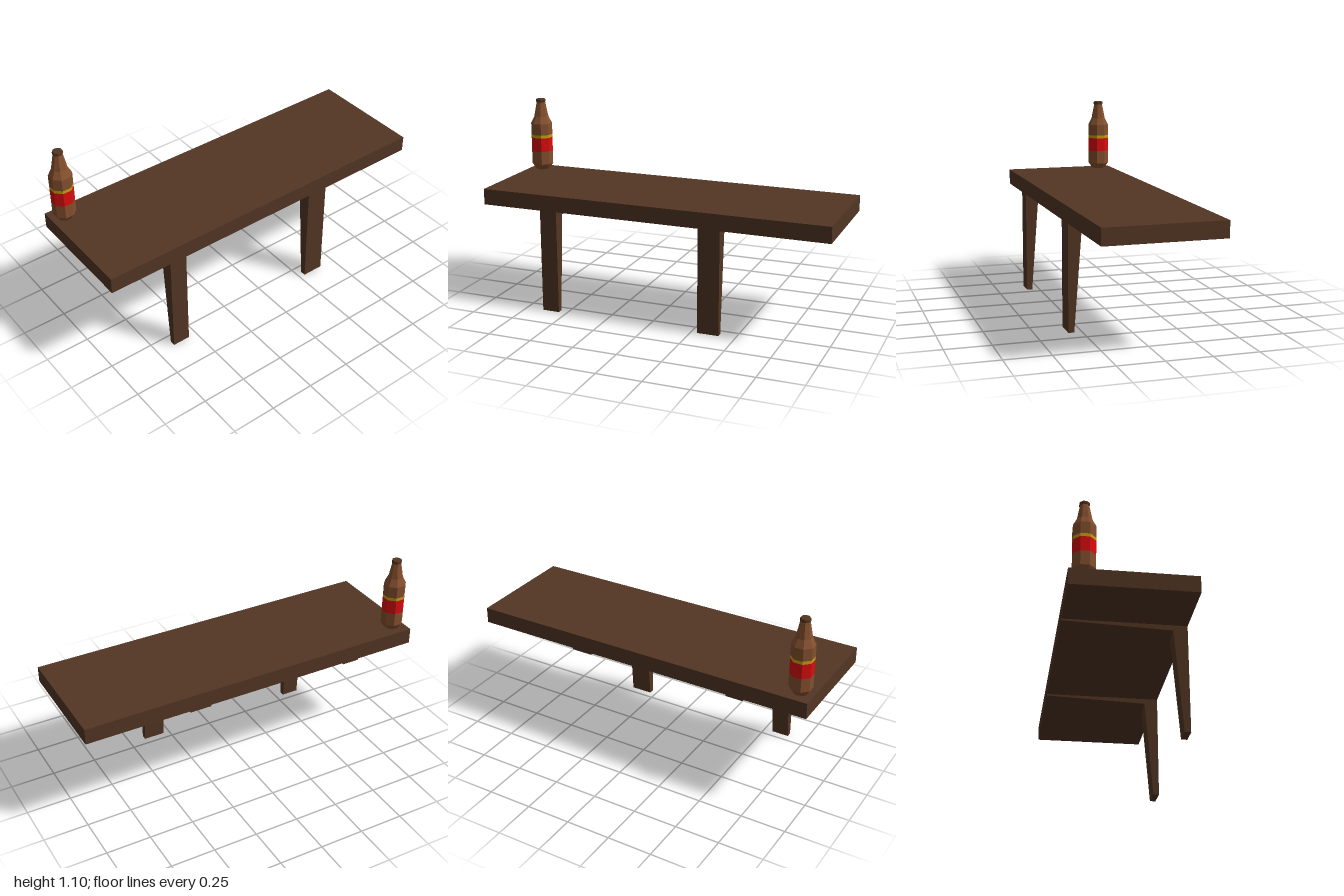
import * as THREE from 'three';

function makeMaterial(name, color) {
  const m = new THREE.MeshStandardMaterial({ color, flatShading: true });
  m.name = name;
  return m;
}

export function createModel() {
  const wood = makeMaterial('darkWood', 0x533624);
  const glass = makeMaterial('brownGlass', 0x85502f);
  const red = makeMaterial('redLabel', 0xdb0d0d);
  const gold = makeMaterial('goldBand', 0xc8a010);
  const capBrown = makeMaterial('capBrown', 0x54351f);

  const model = new THREE.Group();
  model.name = 'shelfWithBottle';
  const add = (parent, name, geometry, material) => {
    const mesh = new THREE.Mesh(geometry, material);
    mesh.name = name;
    parent.add(mesh);
    return mesh;
  };

  // Shelf board
  add(model, 'board', new THREE.BoxGeometry(2, 0.09, 0.65), wood).position.y = 0.632;

  // Tapered brackets: a leg at the front and an arm under the board
  const profile = new THREE.Shape([
    [0.325, 0], [0.325, 0.6], [-0.324, 0.6], [-0.324, 0.578], [0.25, 0.557], [0.293, 0],
  ].map(([z, y]) => new THREE.Vector2(z, y)));
  const bracket = (name, x0, x1) => {
    const g = new THREE.ExtrudeGeometry(profile, { depth: x1 - x0, bevelEnabled: false });
    g.rotateY(-Math.PI / 2).translate(x1, 0, 0);
    add(model, name, g, wood);
  };
  bracket('rightLeg', -0.647, -0.548);
  bracket('leftLeg', 0.285, 0.407);

  // Eight-sided bottle, built as stacked bands of one profile
  const bottle = new THREE.Group();
  bottle.name = 'bottle';
  bottle.position.set(-0.925, 0.677, -0.241);
  bottle.rotation.y = Math.PI / 8;
  model.add(bottle);
  const band = (name, points, material) =>
    add(bottle, name, new THREE.LatheGeometry(points.map(([r, y]) => new THREE.Vector2(r, y)), 8), material);
  const R = 0.0625;
  band('bottleBase', [[0, 0], [0.04, 0], [R, 0.033], [R, 0.112]], glass);
  band('label', [[R, 0.112], [R, 0.194]], red);
  band('labelBand', [[R, 0.194], [R, 0.212]], gold);
  band('bottleNeck', [[R, 0.212], [R, 0.279], [0.042, 0.32], [0.025, 0.408]], glass);
  band('cap', [[0.025, 0.406], [0.028, 0.408], [0.028, 0.421], [0.025, 0.425], [0, 0.425]], capBrown);

  return model;
}
